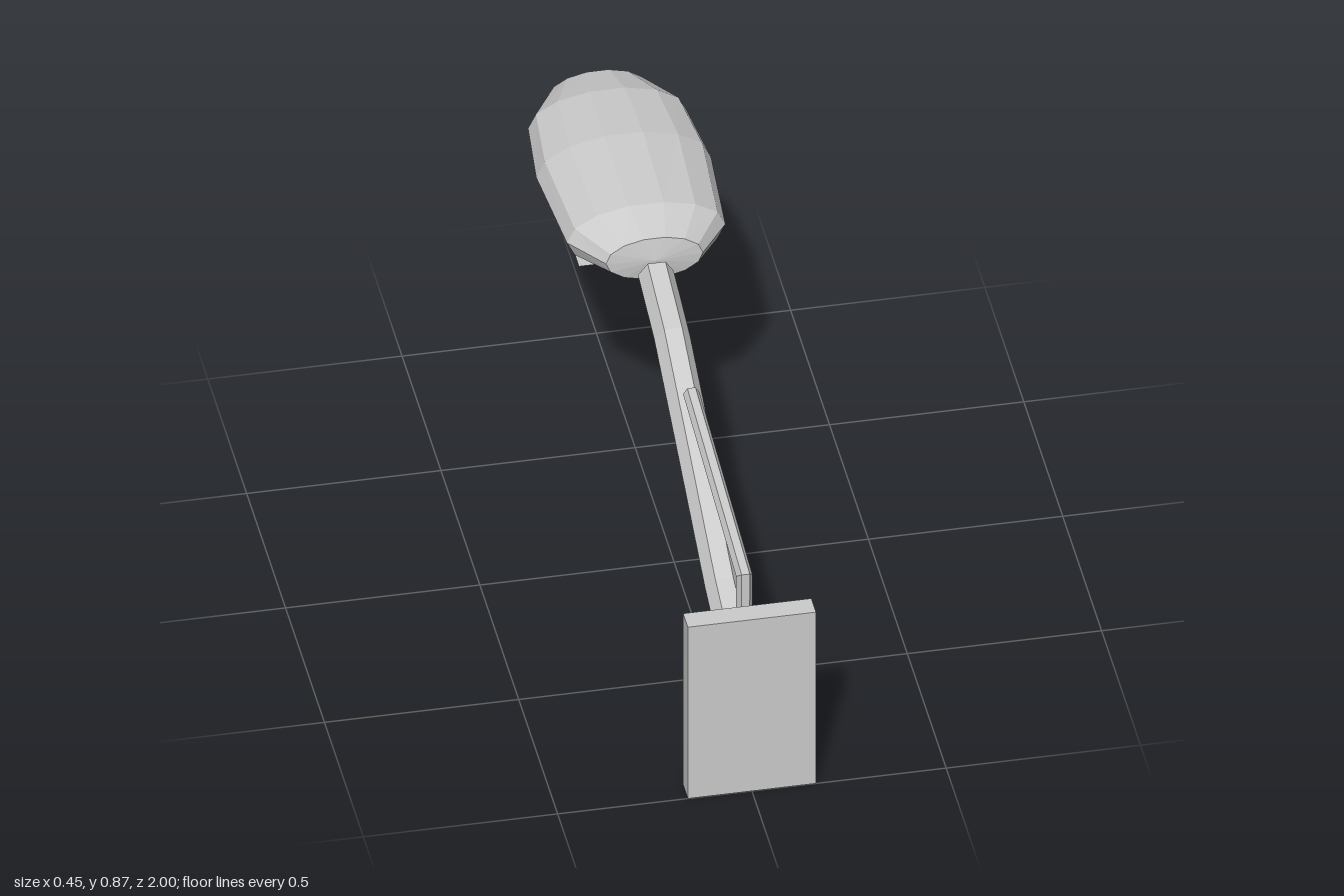
import * as THREE from 'three';

const material = new THREE.MeshStandardMaterial({ color: 0xcccccc, flatShading: true, side: THREE.DoubleSide });

function addPart(group, name, geometry, x = 0, y = 0, z = 0) {
  const mesh = new THREE.Mesh(geometry, material);
  mesh.name = name;
  mesh.position.set(x, y, z);
  group.add(mesh);
  return mesh;
}

// Skins elliptical rings { y, z, ny, nz, rx, ry } and closes both ends with fans.
// (ny, nz) is the ring's "up" direction; tips are the [y, z] centres of the end fans.
function loft(rings, sides, startTip, endTip) {
  const positions = [];
  const index = [];
  for (const r of rings) {
    for (let j = 0; j < sides; j++) {
      const a = (j / sides) * Math.PI * 2;
      const h = r.ry * Math.sin(a);
      positions.push(r.rx * Math.cos(a), r.y + r.ny * h, r.z + r.nz * h);
    }
  }
  positions.push(0, ...startTip, 0, ...endTip);
  const last = (rings.length - 1) * sides;
  const start = rings.length * sides;
  for (let j = 0; j < sides; j++) {
    const k = (j + 1) % sides;
    for (let o = 0; o < last; o += sides) {
      index.push(o + j, o + sides + j, o + k, o + k, o + sides + j, o + sides + k);
    }
    index.push(start, j, k, start + 1, last + k, last + j);
  }
  const geometry = new THREE.BufferGeometry();
  geometry.setAttribute('position', new THREE.Float32BufferAttribute(positions, 3));
  geometry.setIndex(index);
  const flat = geometry.toNonIndexed();
  flat.computeVertexNormals();
  return flat;
}

// Hexagonal tube with mitred bends along [z, y] points in the x = 0 plane.
function hexTube(points, radius) {
  const path = points.map(([z, y]) => new THREE.Vector2(z, y));
  const rings = path.map((p, i) => {
    const before = path[Math.max(i - 1, 0)];
    const after = path[Math.min(i + 1, path.length - 1)];
    const tIn = (i > 0 ? p.clone().sub(before) : after.clone().sub(p)).normalize();
    const tOut = (i < path.length - 1 ? after.clone().sub(p) : tIn.clone()).normalize();
    const t = tIn.clone().add(tOut).normalize();
    return { y: p.y, z: p.x, ny: -t.x, nz: t.y, rx: radius, ry: radius / t.dot(tIn) };
  });
  const first = path[0], end = path[path.length - 1];
  return loft(rings, 6, [first.y, first.x], [end.y, end.x]);
}

export function createModel() {
  const group = new THREE.Group();
  group.name = 'wallStreetLamp';

  // Wall plate with its two hexagonal bolts
  addPart(group, 'wallPlate', new THREE.BoxGeometry(0.33, 0.535, 0.06), 0, 0.2675, 0.97);
  for (const y of [0.065, 0.48]) {
    const bolt = new THREE.CylinderGeometry(0.025, 0.025, 0.02, 6).rotateX(Math.PI / 2);
    addPart(group, 'bolt', bolt, 0, y, 0.934);
  }

  // Curved main arm and the thin bent brace above it
  addPart(group, 'arm', hexTube(
    [[0.935, 0.273], [0.63, 0.373], [0.25, 0.555], [-0.025, 0.683], [-0.235, 0.735]], 0.046));
  addPart(group, 'brace', hexTube([[0.9, 0.3], [0.902, 0.603], [0.22, 0.685]], 0.021));

  // Oval lamp head: [z, half width, half height]
  const headY = 0.769;
  const head = [
    [-0.252, 0.125, 0.063], [-0.36, 0.204, 0.094], [-0.65, 0.225, 0.106],
    [-0.86, 0.204, 0.094], [-0.985, 0.125, 0.063],
  ].map(([z, rx, ry]) => ({ y: headY, z, ny: 1, nz: 0, rx, ry }));
  addPart(group, 'lampHead', loft(head, 14, [headY, -0.24], [headY, -1]));

  // Flat light panel under the head
  addPart(group, 'lightPanel', new THREE.PlaneGeometry(0.33, 0.41).rotateX(Math.PI / 2), 0, 0.661, -0.605);

  return group;
}
